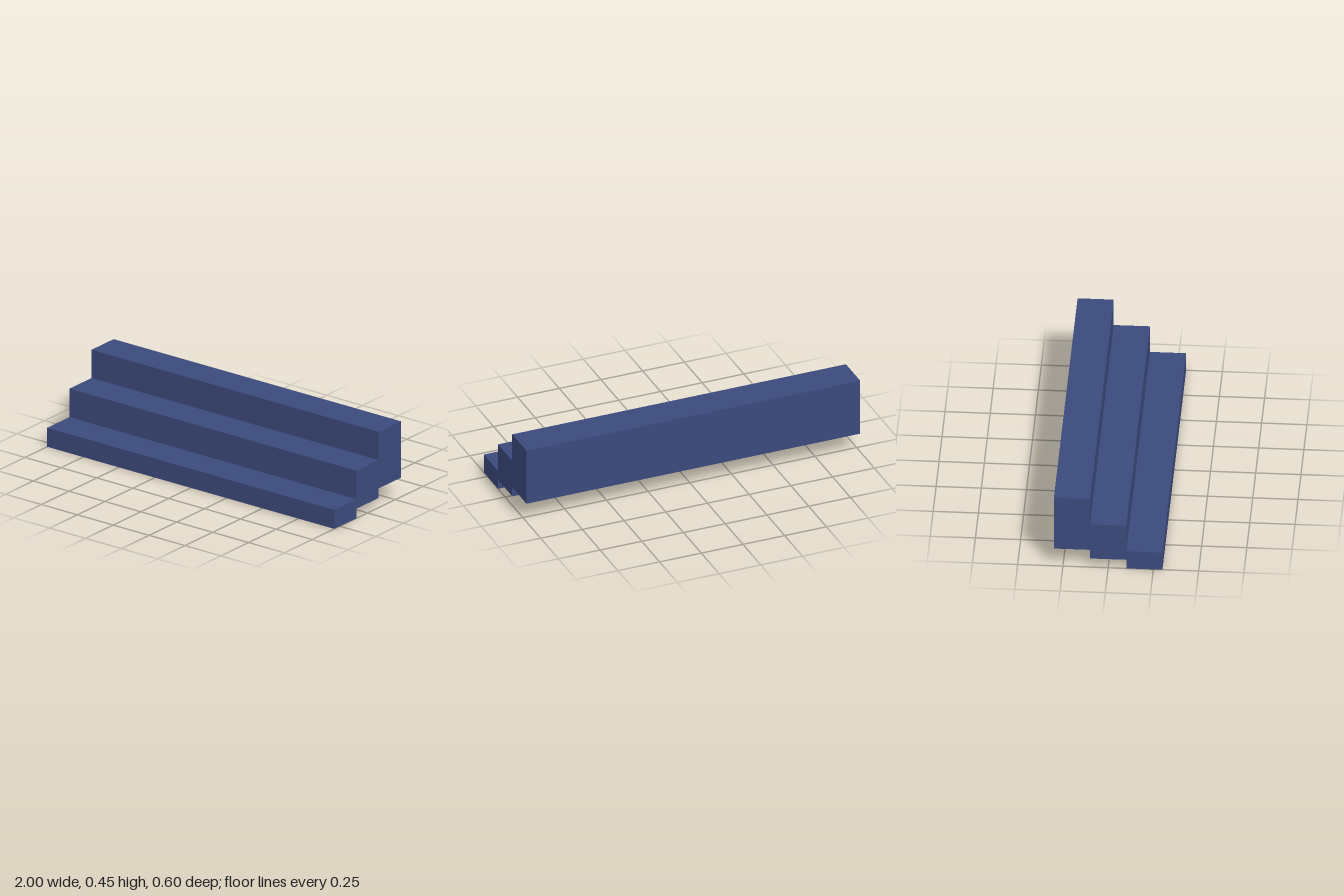
import * as THREE from 'three';

// Each tread in side view: front z, underside y, top y
const DEPTH = 0.2;
const WIDTH = 2;
const STEPS = [
  { front: 0.3, bottom: 0, top: 0.113 },
  { front: 0.1, bottom: 0.057, top: 0.282 },
  { front: -0.1, bottom: 0.114, top: 0.45 },
];

// Closed stepped outline: along the underside to the back, then down the treads
function stairProfile() {
  const points = [];
  for (const { front, bottom } of STEPS) {
    points.push(new THREE.Vector2(front, bottom), new THREE.Vector2(front - DEPTH, bottom));
  }
  for (const { front, top } of [...STEPS].reverse()) {
    points.push(new THREE.Vector2(front - DEPTH, top), new THREE.Vector2(front, top));
  }
  return new THREE.Shape(points);
}

export function createModel() {
  const model = new THREE.Group();
  model.name = 'stairs';

  const blue = new THREE.MeshStandardMaterial({ color: 0x3b4a7c });
  blue.name = 'slate blue';

  // Sweep the side profile across the full width
  const geometry = new THREE.ExtrudeGeometry(stairProfile(), { depth: WIDTH, bevelEnabled: false });
  geometry.rotateY(-Math.PI / 2);
  geometry.translate(WIDTH / 2, 0, 0);

  const flight = new THREE.Mesh(geometry, blue);
  flight.name = 'stairFlight';
  model.add(flight);
  return model;
}
